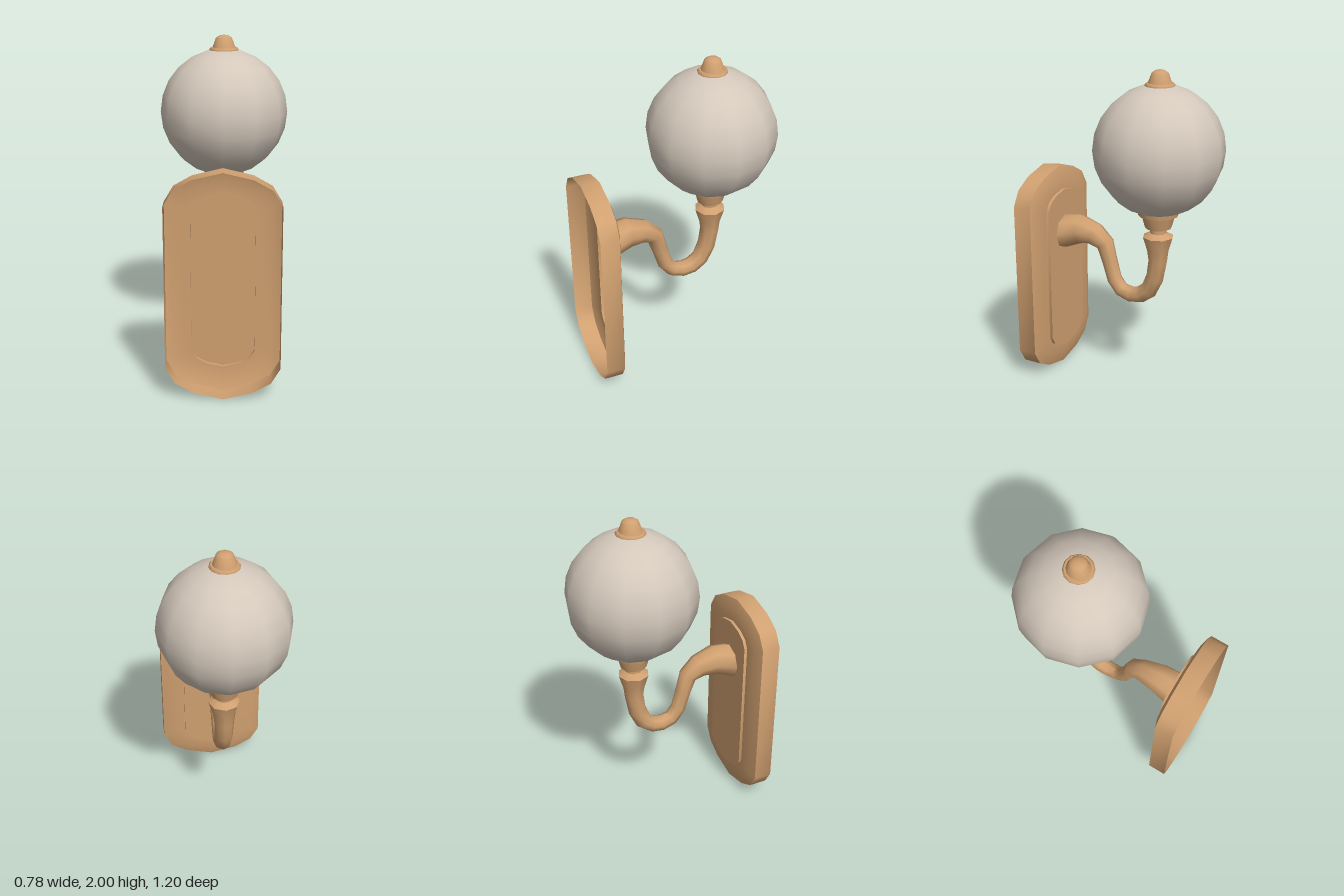
import * as THREE from 'three';
import { toCreasedNormals } from 'three/addons/utils/BufferGeometryUtils.js';

const AXIS_Z = -0.21; // vertical axis of the globe and its fittings
const PLATE_Y = 0.672; // centre height of the wall plate

// Skin a series of closed rings, optionally closing the last one with a fan
function loft(rings, crease, cap = false) {
  const n = rings[0].length;
  const index = [];
  for (let j = 0; j < rings.length - 1; j++) {
    for (let i = 0; i < n; i++) {
      const a = j * n + i;
      const b = j * n + (i + 1) % n;
      index.push(a, b, a + n, b, b + n, a + n);
    }
  }
  if (cap) {
    const s = (rings.length - 1) * n;
    for (let i = 1; i < n - 1; i++) index.push(s, s + i, s + i + 1);
  }
  const g = new THREE.BufferGeometry();
  g.setAttribute('position', new THREE.Float32BufferAttribute(rings.flat(2), 3));
  g.setIndex(index);
  return toCreasedNormals(g, crease);
}

// Mirror a quarter outline (top centre to right side) into a full ring at depth z
function plateRing(quarter, z) {
  const right = [...quarter, ...quarter.slice().reverse().map(([x, y]) => [x, -y])];
  const left = right.slice(1, -1).reverse().map(([x, y]) => [-x, y]);
  return [...right, ...left].map(([x, y]) => [x, y + PLATE_Y, z]);
}

function lathe(profile, crease) {
  const g = new THREE.LatheGeometry(profile.map(([r, y]) => new THREE.Vector2(r, y)), 12);
  return toCreasedNormals(g, crease);
}

export function createModel() {
  const brass = new THREE.MeshStandardMaterial({ color: 0xd0a070, side: THREE.DoubleSide });
  brass.name = 'brass';
  const glass = new THREE.MeshStandardMaterial({ color: 0xd4c8bb });
  glass.name = 'frosted glass';

  const group = new THREE.Group();
  const add = (name, geometry, material, z = 0) => {
    const mesh = new THREE.Mesh(geometry, material);
    mesh.name = name;
    mesh.position.z = z;
    group.add(mesh);
  };

  // Wall plate: hollow shell, open at the wall, with a raised centre panel
  const outer = [[0, 0.672], [0.17, 0.632], [0.276, 0.572], [0.33, 0.48]];
  const bevel = [[0, 0.61], [0.145, 0.578], [0.232, 0.528], [0.272, 0.458]];
  const panel = [[0, 0.53], [0.1, 0.508], [0.157, 0.475], [0.185, 0.425]];
  add('wallPlate', loft([
    plateRing(outer, 0.602),
    plateRing(outer, 0.487),
    plateRing(bevel, 0.467),
    plateRing(panel, 0.465),
    plateRing(panel, 0.446),
  ], 0.7, true), brass);

  // Curved arm: [z, y, radius] along an S-shaped path, eight sides
  const path = [
    [0.446, 0.925, 0.11], [0.329, 0.957, 0.093], [0.228, 0.939, 0.073],
    [0.156, 0.889, 0.057], [0.125, 0.785, 0.049], [0.09, 0.666, 0.047],
    [0.042, 0.605, 0.047], [-0.027, 0.586, 0.051], [-0.09, 0.597, 0.053],
    [-0.149, 0.64, 0.054], [-0.191, 0.732, 0.057], [-0.21, 0.849, 0.06],
    [AXIS_Z, 0.918, 0.069], [AXIS_Z, 1.003, 0.095], [AXIS_Z, 1.028, 0.05],
  ];
  const armRings = path.map(([z, y, r], j) => {
    let tz = -1;
    let ty = 0;
    if (j > 0) {
      const before = path[j - 1];
      const after = path[Math.min(j + 1, path.length - 1)];
      tz = after[0] - before[0];
      ty = after[1] - before[1];
      const length = Math.hypot(tz, ty);
      tz /= length;
      ty /= length;
    }
    return Array.from({ length: 8 }, (_, i) => {
      const a = i * Math.PI / 4;
      const c = r * Math.cos(a);
      return [r * Math.sin(a), y - tz * c, z + ty * c];
    });
  });
  add('arm', loft(armRings, 1.0), brass);

  // Neck and cup that hold the globe
  add('globeHolder', lathe([
    [0.05, 1.01], [0.05, 1.06], [0.08, 1.06], [0.102, 1.14],
    [0.121, 1.14], [0.126, 1.168], [0.09, 1.175],
  ], 0.7), brass, AXIS_Z);

  // Globe
  const globe = new THREE.SphereGeometry(0.39, 12, 12);
  globe.translate(0, 1.533, 0);
  add('globe', globe, glass, AXIS_Z);

  // Finial on top of the globe
  add('finial', lathe([
    [0.088, 1.9], [0.088, 1.918], [0.08, 1.928], [0.069, 1.928],
    [0.048, 1.986], [0.025, 2.0], [0, 2.0],
  ], 0.7), brass, AXIS_Z);

  return group;
}
